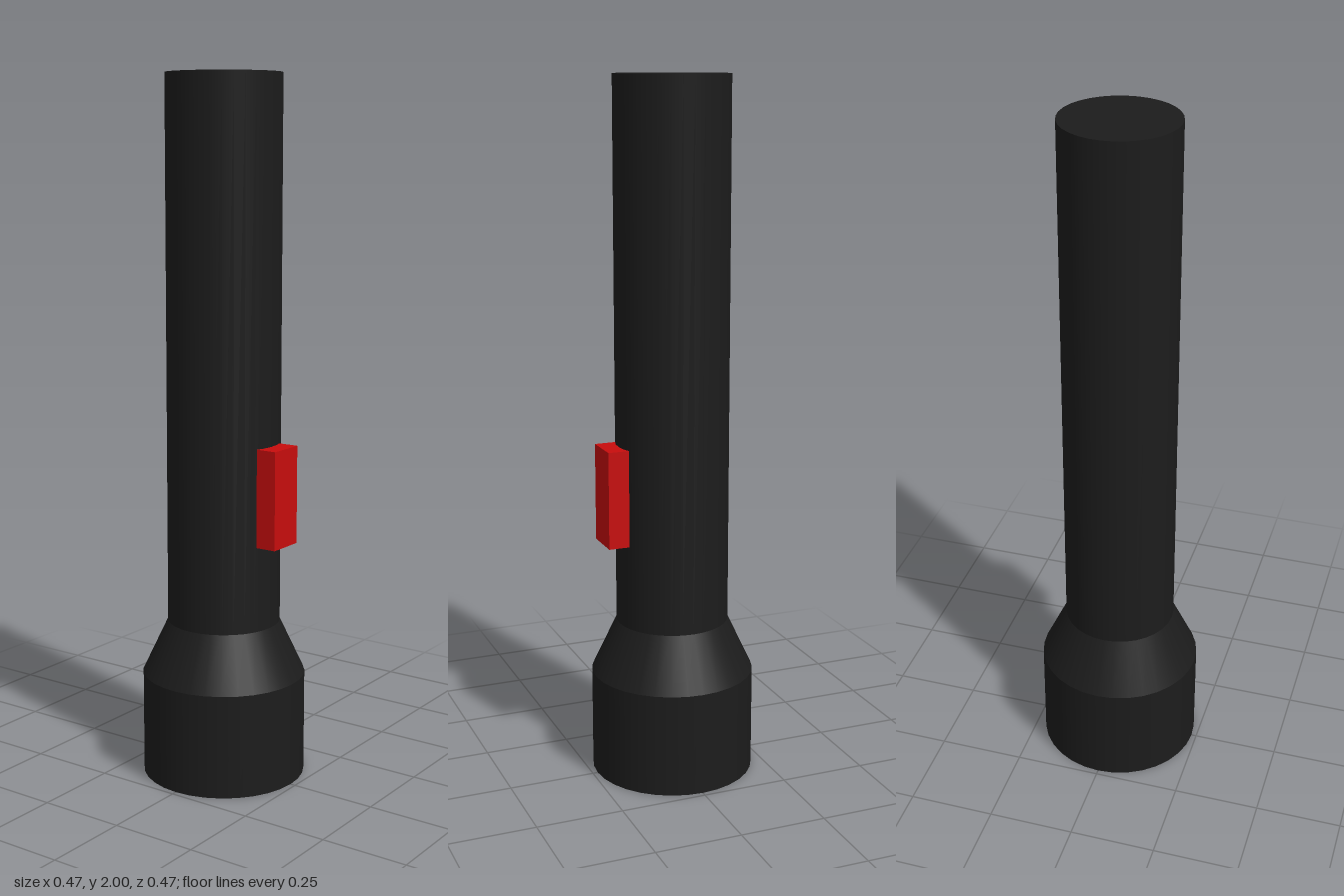
import * as THREE from 'three';

const SIDES = 32;
const BODY_R = 0.162, HEAD_R = 0.235;
const HEAD_TOP = 0.3, NECK_TOP = 0.455, TOP = 2;

export function createModel() {
  const model = new THREE.Group();
  model.name = 'flashlight';
  const black = new THREE.MeshStandardMaterial({ color: 0x1c1c1c });
  const red = new THREE.MeshStandardMaterial({ color: 0xc80d0d });

  // Round section between two heights
  const section = (name, rBottom, rTop, y0, y1, open = false) => {
    const geometry = new THREE.CylinderGeometry(rTop, rBottom, y1 - y0, SIDES, 1, open);
    const mesh = new THREE.Mesh(geometry, black);
    mesh.name = name;
    mesh.position.y = (y0 + y1) / 2;
    model.add(mesh);
  };

  section('head', HEAD_R, HEAD_R, 0, HEAD_TOP);
  section('neck', HEAD_R, BODY_R, HEAD_TOP, NECK_TOP, true);
  section('handle', BODY_R, BODY_R, NECK_TOP, TOP);

  // Sliding switch, sunk slightly into the handle
  const slider = new THREE.Mesh(new THREE.BoxGeometry(0.062, 0.28, 0.112), red);
  slider.name = 'switch';
  slider.position.set(0.181, 0.84, 0);
  model.add(slider);

  return model;
}
